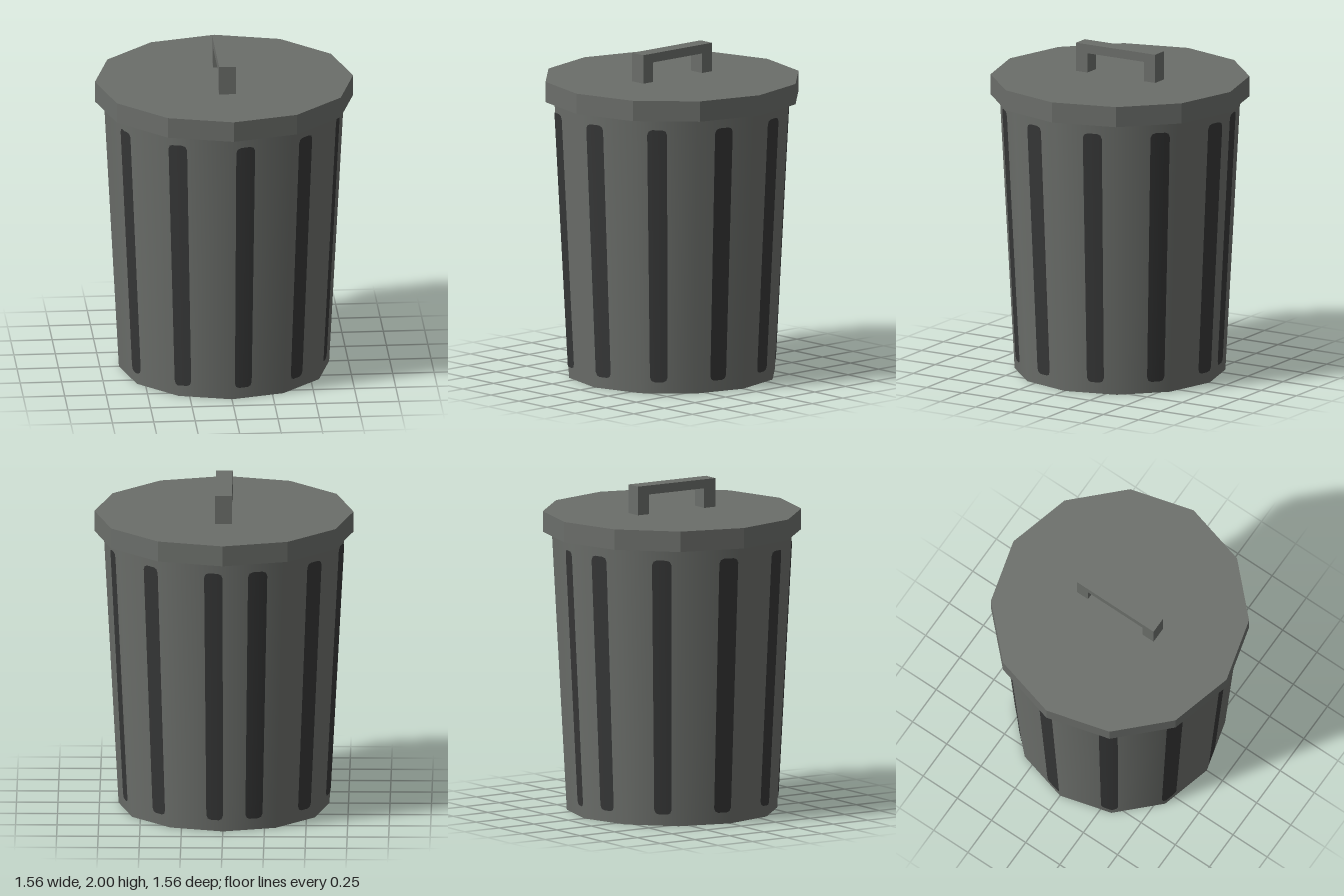
import * as THREE from 'three';

const SIDES = 12;
const WALL_H = 1.7, R_BOTTOM = 0.635, R_TOP = 0.725;
const LID_R = 0.78, LID_TOP = 1.825;

// Point and smooth normal on the faceted wall; u counts facets round from the front.
function wallPoint(u, y, lift) {
  const k = Math.floor(u), f = u - k;
  const r = THREE.MathUtils.lerp(R_BOTTOM, R_TOP, y / WALL_H);
  const slope = (R_BOTTOM - R_TOP) / WALL_H;
  const corner = (i) => {
    const a = (i * 2 * Math.PI) / SIDES;
    return new THREE.Vector3(Math.sin(a), 0, Math.cos(a));
  };
  const dir = corner(k).lerp(corner(k + 1), f);
  const normal = dir.clone().setY(slope).normalize();
  const position = dir.multiplyScalar(r).setY(y).addScaledVector(normal, lift);
  return { position, normal };
}

// Thin upright stripe with rounded ends that follows the wall and bends at its corners.
function stripeGeometry(u0, u1) {
  const yLow = 0.07, yHigh = 1.635, round = 0.03, roundU = 0.08;
  const columns = [u0, u0 + 0.025, u0 + roundU, u1 - roundU, u1 - 0.025, u1];
  const corner = Math.ceil(u0);
  if (corner > u0 && corner < u1) columns.push(corner);
  columns.sort((a, b) => a - b);

  const positions = [], normals = [], index = [];
  columns.forEach((u, i) => {
    const edge = Math.max(0, 1 - Math.min(u - u0, u1 - u) / roundU);
    const inset = round * (1 - Math.sqrt(1 - edge * edge));
    for (const y of [yLow + inset, yHigh - inset]) {
      const p = wallPoint(u, y, 0.004);
      positions.push(...p.position.toArray());
      normals.push(...p.normal.toArray());
    }
    if (i > 0) {
      const a = 2 * (i - 1);
      index.push(a, a + 2, a + 3, a, a + 3, a + 1);
    }
  });
  const g = new THREE.BufferGeometry();
  g.setAttribute('position', new THREE.Float32BufferAttribute(positions, 3));
  g.setAttribute('normal', new THREE.Float32BufferAttribute(normals, 3));
  g.setIndex(index);
  return g;
}

export function createModel() {
  const metal = new THREE.MeshStandardMaterial({ name: 'grey metal', color: 0x6b6e6a });
  const dark = new THREE.MeshStandardMaterial({ name: 'dark groove', color: 0x363737 });
  const model = new THREE.Group();
  model.name = 'dustbin';

  const add = (name, geometry, material, parent = model) => {
    const mesh = new THREE.Mesh(geometry, material);
    mesh.name = name;
    parent.add(mesh);
    return mesh;
  };

  // Tapered bin, smooth round the wall
  add('bin', new THREE.CylinderGeometry(R_TOP, R_BOTTOM, WALL_H, SIDES), metal)
    .position.y = WALL_H / 2;

  // Dark grooves, evenly spaced except where the first and last meet at the back
  const grooves = new THREE.Group();
  grooves.name = 'grooves';
  model.add(grooves);
  for (let i = 0; i < 11; i++) {
    const u = -5.42 + 1.127 * i;
    add(`groove${i + 1}`, stripeGeometry(u - 0.16, Math.min(u + 0.16, 6)), dark, grooves);
  }

  // Faceted lid
  const lidH = LID_TOP - WALL_H;
  const lid = new THREE.CylinderGeometry(LID_R, LID_R, lidH, SIDES).toNonIndexed();
  lid.computeVertexNormals();
  add('lid', lid, metal).position.y = WALL_H + lidH / 2;

  // Square arch handle running front to back
  const arch = new THREE.Shape([
    [-0.28, LID_TOP], [-0.2, LID_TOP], [-0.2, 1.945], [0.2, 1.945],
    [0.2, LID_TOP], [0.28, LID_TOP], [0.28, 2], [-0.28, 2],
  ].map(([z, y]) => new THREE.Vector2(z, y)));
  const handle = new THREE.ExtrudeGeometry(arch, { depth: 0.1, bevelEnabled: false });
  handle.translate(0, 0, -0.05).rotateY(Math.PI / 2);
  add('handle', handle, metal);

  return model;
}
